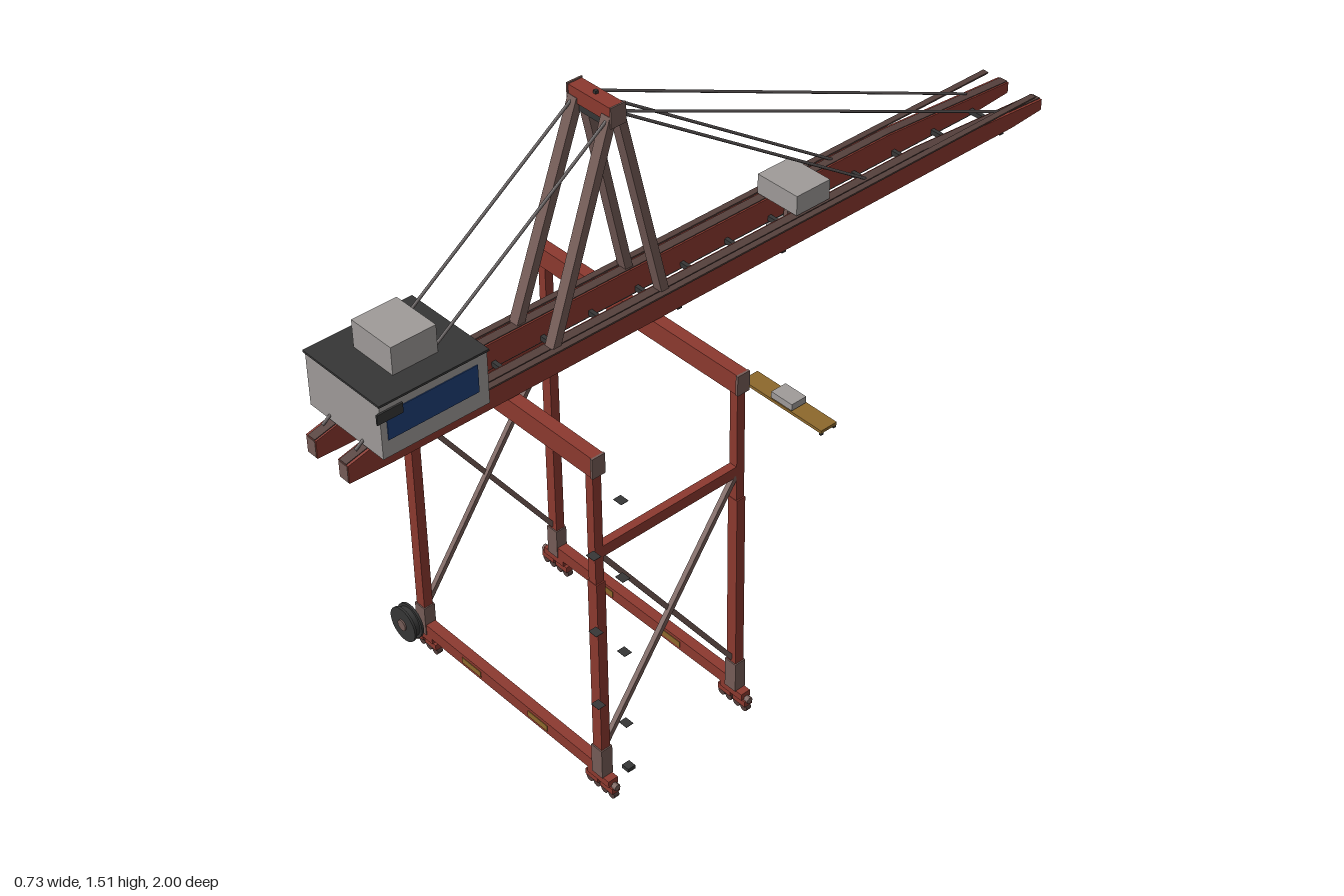
import * as THREE from 'three';

const mat = (name, color) => {
  const m = new THREE.MeshStandardMaterial({ color });
  m.name = name;
  return m;
};

export function createModel() {
  const red = mat('red paint', 0x8c392f);
  const worn = mat('grey brown steel', 0x755c57);
  const grey = mat('light grey', 0x9f9b99);
  const dark = mat('dark grey', 0x363636);
  const blue = mat('blue panel', 0x1f3f78);
  const ochre = mat('ochre', 0x8d682c);
  const cable = mat('cable grey', 0x625c5c);
  const brown = mat('dark brown deck', 0x55403c);

  const root = new THREE.Group();
  root.name = 'containerCrane';
  const crane = new THREE.Group();
  crane.name = 'crane';
  crane.position.x = 0.006; // the cable reel and bogies make the outline slightly uneven
  root.add(crane);

  const add = (name, geo, material, x = 0, y = 0, z = 0) => {
    const m = new THREE.Mesh(geo, material);
    m.name = name;
    m.position.set(x, y, z);
    crane.add(m);
    return m;
  };
  const box = (name, material, w, h, d, x, y, z) =>
    add(name, new THREE.BoxGeometry(w, h, d), material, x, y, z);
  // Square or round bar between two points
  const bar = (name, material, a, b, w, d = w, round = false) => {
    const p = new THREE.Vector3(...a), q = new THREE.Vector3(...b);
    const len = p.distanceTo(q);
    const geo = round ? new THREE.CylinderGeometry(w / 2, w / 2, len, 6) : new THREE.BoxGeometry(w, len, d);
    const m = add(name, geo, material);
    m.position.copy(p).lerp(q, 0.5);
    m.quaternion.setFromUnitVectors(new THREE.Vector3(0, 1, 0), q.sub(p).normalize());
    return m;
  };
  // Side profile of [z, y] points swept across a width in x
  const sweep = (points, width) => {
    const shape = new THREE.Shape(points.map(p => new THREE.Vector2(...p)));
    const geo = new THREE.ExtrudeGeometry(shape, { depth: width, bevelEnabled: false });
    geo.translate(0, 0, -width / 2);
    return geo.rotateY(-Math.PI / 2);
  };

  const LEG_X = 0.306, LEG_Z = [0.196, 0.588];

  // Portal frames: sill, legs, top beam and bogies
  for (const z of LEG_Z) {
    box('sillBeam', red, 0.64, 0.032, 0.026, 0, 0.064, z);
    box('topBeam', red, 0.638, 0.05, 0.03, 0, 0.91, z);
    for (const x of [-0.125, 0.105])
      for (const s of [-1, 1])
        box('sillMarking', ochre, 0.066, 0.016, 0.002, x, 0.064, z + s * 0.0135);

    for (const s of [-1, 1]) {
      const x = s * LEG_X;
      box('topBeamEnd', worn, 0.006, 0.05, 0.034, s * 0.321, 0.91, z);
      box('lowerLeg', red, 0.028, 0.5, 0.024, x, 0.35, z);
      box('upperLeg', red, 0.022, 0.3, 0.022, x, 0.74, z);
      box('legFoot', worn, 0.034, 0.08, 0.03, x, 0.09, z);
      // Bogie with equalizers and four wheels
      box('bogieBeam', red, 0.07, 0.018, 0.026, x, 0.042, z);
      for (const k of [-1, 1]) {
        box('bogieTruck', red, 0.04, 0.016, 0.022, x + k * 0.024, 0.026, z);
        for (const j of [-1, 1]) {
          const w = add('bogieWheel', new THREE.CylinderGeometry(0.0105, 0.0105, 0.014, 14), brown,
            x + k * 0.024 + j * 0.0115, 0.0105, z);
          w.rotation.x = Math.PI / 2;
        }
      }
      const buffer = add('bogieBuffer', new THREE.CylinderGeometry(0.008, 0.008, 0.012, 10), worn, x + s * 0.043, 0.035, z);
      buffer.rotation.z = Math.PI / 2;
    }
  }

  // Side bracing between the two portals
  for (const s of [-1, 1]) {
    const x = s * LEG_X, [za, zb] = LEG_Z;
    box('sideTie', red, 0.02, 0.028, zb - za - 0.02, x, 0.677, (za + zb) / 2);
    bar('sideBrace', worn, [x - 0.004, 0.14, za + 0.01], [x - 0.004, 0.665, zb - 0.01], 0.012);
    bar('sideBrace', worn, [x + 0.004, 0.14, zb - 0.01], [x + 0.004, 0.665, za + 0.01], 0.012);
  }

  // Stair landings beside one leg, with a step box at the bottom
  for (let i = 0; i < 7; i++)
    box('stairLanding', dark, 0.024, 0.001, 0.02, 0.338, 0.19 + i * 0.103, i % 2 ? 0.62 : 0.545);
  box('stairStep', dark, 0.02, 0.01, 0.02, 0.343, 0.062, 0.545);

  // Cable reel
  const reel = (name, material, r, d, z) => {
    add(name, new THREE.CylinderGeometry(r, r, d, 28), material, -0.327, 0.08, z).rotation.x = Math.PI / 2;
  };
  reel('reelFlange', dark, 0.045, 0.006, 0.616);
  reel('reelFlange', dark, 0.045, 0.006, 0.636);
  reel('reelDrum', dark, 0.038, 0.018, 0.626);
  reel('reelHub', worn, 0.014, 0.05, 0.618);

  // Twin boom girders with tapered ends, decks, rails and overhanging walkways
  const girder = sweep([
    [1, 0.942], [1, 0.985], [0.94, 1], [-0.6, 1], [-1, 0.973], [-1, 0.945], [-0.9, 0.938], [0.9, 0.938],
  ], 0.032);
  const deck = sweep([
    [1, 0.984], [1, 0.987], [0.94, 1.002], [-0.6, 1.002], [-1, 0.975], [-1, 0.972], [-0.6, 0.999], [0.94, 0.999],
  ], 0.022);
  for (const s of [-1, 1]) {
    add('boomGirder', girder, red, s * 0.052);
    add('girderDeck', deck, brown, s * 0.051);
    box('girderEnd', worn, 0.026, 0.04, 0.004, s * 0.052, 0.963, 0.999);
    box('trolleyRail', dark, 0.01, 0.003, 1.76, s * 0.041, 0.9375, 0);
    box('walkway', brown, 0.016, 0.004, 1.65, s * 0.074, 1.002, -0.135);
    for (const z of [0.135, -0.17, -0.87])
      box('boomLamp', dark, 0.008, 0.008, 0.012, s * 0.06, 0.934, z);
  }
  for (let i = 0; i < 14; i++)
    box('boomRung', dark, 0.08, 0.012, 0.01, 0, 0.948, -0.872 + i * 0.13);

  // A-frame tower and its stays
  const apexZ = 0.296;
  box('towerHead', red, 0.13, 0.034, 0.036, 0, 1.482, apexZ);
  box('towerHeadUnder', dark, 0.086, 0.02, 0.026, 0, 1.456, apexZ);
  box('beacon', dark, 0.008, 0.008, 0.008, 0, 1.502, apexZ);
  for (const s of [-1, 1]) {
    box('towerHeadEnd', worn, 0.004, 0.048, 0.04, s * 0.065, 1.478, apexZ);
    for (const [z, dz] of [[0.48, 0.01], [0.178, -0.01]])
      bar('towerLeg', worn, [s * 0.057, 0.99, z], [s * 0.05, 1.475, apexZ + dz], 0.026, 0.02);
    for (const [y, z] of [[1.0, 0.97], [1.0, -0.43], [0.988, -0.87]])
      bar('stay', cable, [s * 0.053, y, z], [s * 0.053, 1.482, apexZ], 0.007, 0.007, true);
  }

  // Machinery house
  box('machineryHouse', grey, 0.235, 0.128, 0.262, 0, 1.068, 0.82);
  box('houseRoof', dark, 0.243, 0.005, 0.268, 0, 1.1345, 0.82);
  box('roofUnit', grey, 0.124, 0.066, 0.11, 0, 1.17, 0.82);
  for (const s of [-1, 1]) {
    box('housePanel', blue, 0.003, 0.066, 0.222, s * 0.118, 1.078, 0.825);
    for (const z of [0.71, 0.93])
      box('houseFoot', dark, 0.03, 0.012, 0.03, s * 0.051, 1.002, z);
  }
  box('houseVent', dark, 0.004, 0.024, 0.062, 0.1195, 1.106, 0.929);

  // Trolley, operator cab and spreader
  box('trolley', grey, 0.122, 0.05, 0.1, 0, 1.031, -0.259);
  box('cabHanger', worn, 0.012, 0.075, 0.02, -0.026, 0.97, -0.272);
  box('operatorCab', grey, 0.052, 0.054, 0.06, -0.041, 0.905, -0.272);
  box('spreaderBeam', ochre, 0.262, 0.008, 0.05, -0.002, 0.432, -0.262);
  box('spreaderHead', grey, 0.068, 0.018, 0.046, 0, 0.449, -0.259);
  for (const s of [-1, 1])
    for (const k of [-1, 1])
      box('twistLock', dark, 0.006, 0.01, 0.008, s * 0.127 - 0.002, 0.426, -0.262 + k * 0.02);

  return root;
}
